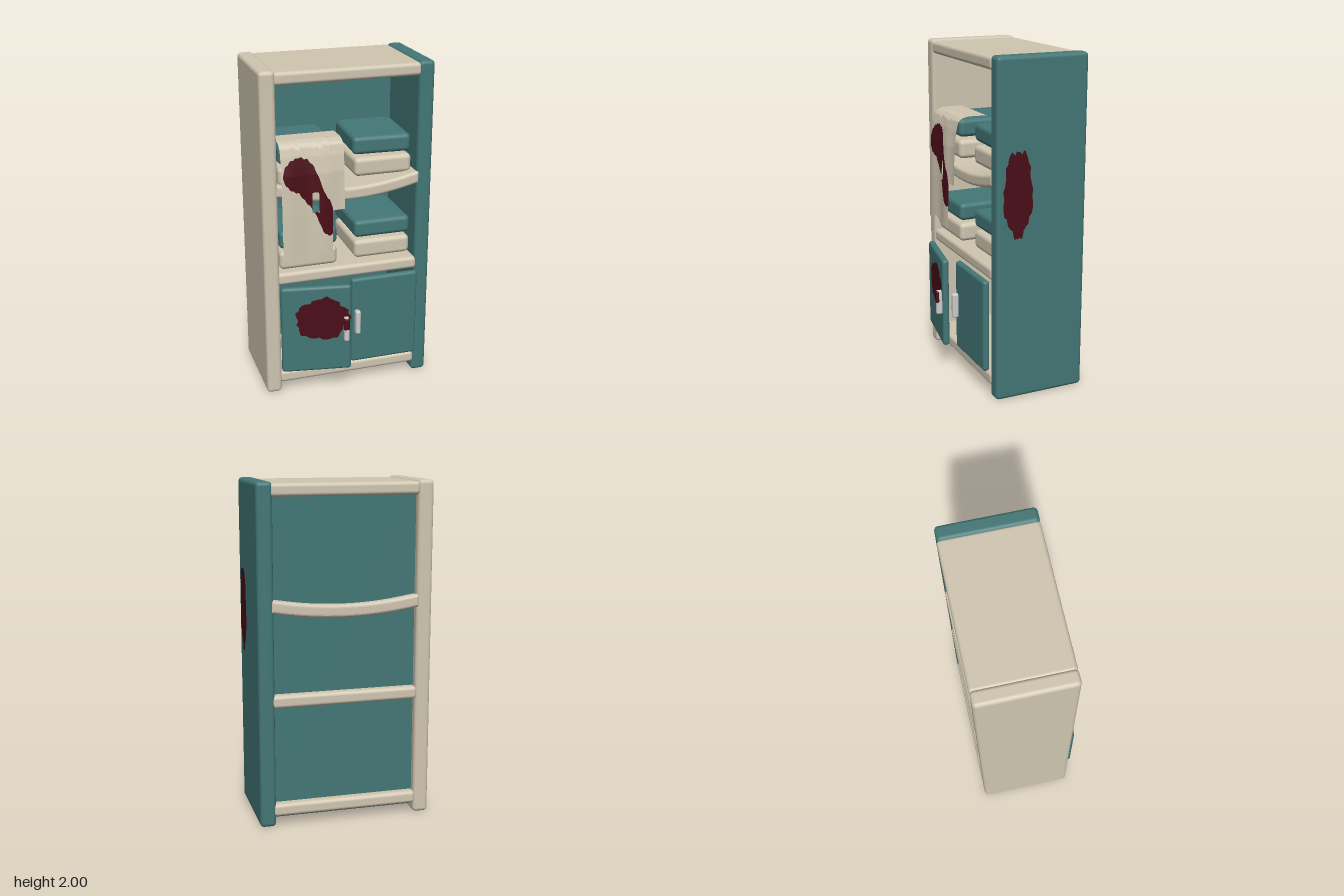
import * as THREE from 'three';
import { RoundedBoxGeometry } from 'three/addons/geometries/RoundedBoxGeometry.js';
import { ParametricGeometry } from 'three/addons/geometries/ParametricGeometry.js';

const mat = (color, side = THREE.FrontSide) => new THREE.MeshStandardMaterial({ color, side });
const teal = mat(0x437776);
const cream = mat(0xd0c6b1);
const grey = mat(0xcccccc);
const linen = mat(0xd0c6b1, THREE.DoubleSide);
const red = mat(0x4a0d18, THREE.DoubleSide);

function add(parent, name, geometry, material, x = 0, y = 0, z = 0) {
  const mesh = new THREE.Mesh(geometry, material);
  mesh.name = name;
  mesh.position.set(x, y, z);
  parent.add(mesh);
  return mesh;
}

// Rounded block given by its extents on each axis
function block(parent, name, material, [x0, x1], [y0, y1], [z0, z1], r = 0.02) {
  const geometry = new RoundedBoxGeometry(x1 - x0, y1 - y0, z1 - z0, 4, r);
  return add(parent, name, geometry, material, (x0 + x1) / 2, (y0 + y1) / 2, (z0 + z1) / 2);
}

// Piecewise linear lookup: rows are [key, value, ...]
function lookup(rows, key, col = 1) {
  let i = 1;
  while (i < rows.length - 1 && key > rows[i][0]) i++;
  const [a, b] = [rows[i - 1], rows[i]];
  return THREE.MathUtils.mapLinear(THREE.MathUtils.clamp(key, a[0], b[0]), a[0], b[0], a[col], b[col]);
}

// Flat splatter with a ragged outline
function splatter(rx, ry, seed) {
  const points = [];
  for (let i = 0; i < 72; i++) {
    const a = (i / 72) * Math.PI * 2;
    const r = 0.91 + 0.05 * Math.sin(a * 5 + seed) + 0.035 * Math.sin(a * 13 + seed * 2) + 0.02 * Math.sin(a * 23);
    points.push(new THREE.Vector2(Math.cos(a) * rx * r, Math.sin(a) * ry * r));
  }
  return new THREE.ShapeGeometry(new THREE.Shape(points));
}

// Cloth drape: distance along the cloth -> y, z
const drape = [
  [0.86, 0.86, 0.245], [1.17, 1.17, 0.24], [1.4, 1.4, 0.232], [1.5, 1.5, 0.217],
  [1.55, 1.55, 0.204], [1.585, 1.574, 0.18], [1.62, 1.584, 0.14], [1.74, 1.582, 0.02],
];

// Piece of the cloth surface between x0..x1 and bottom(x)..top(x)
function sheet(parent, name, material, x0, x1, bottom, top, lift = 0) {
  const surface = (u, v, target) => {
    const x = x0 + (x1 - x0) * u;
    const s = THREE.MathUtils.lerp(bottom(x), top(x), v);
    const fold = 0.005 * Math.sin(x * 30) * THREE.MathUtils.clamp((1.6 - s) * 4, 0, 1);
    target.set(x, lookup(drape, s, 1), lookup(drape, s, 2) + fold + lift);
  };
  add(parent, name, new ParametricGeometry(surface, 24, 48), material);
}

function buildCloth() {
  const cloth = new THREE.Group();
  cloth.name = 'tornCloth';
  const top = () => 1.74;
  const hem = (x) => 0.875 + 0.045 * Math.abs((((x + 0.445) / 0.135) % 1) * 2 - 1);
  const holeTop = () => 1.29, holeBottom = () => 1.17;
  sheet(cloth, 'clothLeft', linen, -0.41, -0.23, hem, top);
  sheet(cloth, 'clothAboveHole', linen, -0.23, -0.19, holeTop, top);
  sheet(cloth, 'clothBelowHole', linen, -0.23, -0.19, hem, holeBottom);
  sheet(cloth, 'clothMiddle', linen, -0.19, -0.11, hem, top);
  sheet(cloth, 'clothRight', linen, -0.11, -0.035, holeBottom, top);

  // Stain running diagonally around the hole
  const upper = [[-0.4, 1.41], [-0.385, 1.455], [-0.35, 1.488], [-0.3, 1.503], [-0.25, 1.485], [-0.215, 1.44],
    [-0.2, 1.4], [-0.18, 1.35], [-0.16, 1.285], [-0.13, 1.24], [-0.11, 1.19]];
  const lower = [[-0.4, 1.39], [-0.385, 1.345], [-0.35, 1.312], [-0.31, 1.295], [-0.27, 1.24], [-0.23, 1.19],
    [-0.2, 1.13], [-0.17, 1.05], [-0.14, 1.02], [-0.11, 1.025]];
  const ragged = (x) => 0.004 * Math.sin(x * 190);
  const hi = (x) => lookup(upper, x) + ragged(x);
  const lo = (x) => lookup(lower, x) + ragged(x + 0.02);
  for (const lift of [0.002, -0.002]) {
    sheet(cloth, 'clothStainLeft', red, -0.4, -0.23, lo, hi, lift);
    sheet(cloth, 'clothStainAboveHole', red, -0.23, -0.19, holeTop, hi, lift);
    sheet(cloth, 'clothStainBelowHole', red, -0.23, -0.19, (x) => Math.min(lo(x), 1.17), holeBottom, lift);
    sheet(cloth, 'clothStainRight', red, -0.19, -0.11, lo, hi, lift);
  }
  return cloth;
}

// Sagging shelf: a curved strip extruded through the depth, sagging most at the front
function buildSaggingShelf() {
  const bow = (x) => 1 - (x / 0.435) ** 2;
  const outline = [];
  for (const edge of [-1, 1]) {
    for (let i = 0; i <= 24; i++) {
      const x = edge * (0.42 - (i / 24) * 0.84) * 1;
      outline.push(new THREE.Vector2(x, 1.308 - 0.062 * bow(x) + edge * 0.018));
    }
  }
  outline.reverse();
  const geometry = new THREE.ExtrudeGeometry(new THREE.Shape(outline), {
    depth: 0.524, steps: 4, bevelEnabled: true, bevelThickness: 0.02, bevelSize: 0.02, bevelSegments: 5,
  });
  geometry.translate(0, 0, -0.337);
  const p = geometry.attributes.position;
  for (let i = 0; i < p.count; i++) {
    p.setY(i, p.getY(i) + 0.02 * bow(p.getX(i)) * (0.207 - p.getZ(i)) / 0.564);
  }
  return geometry;
}

// Cupboard door hinged at its own x = 0; side is the direction it extends in
function buildDoor(name, side) {
  const door = new THREE.Group();
  door.name = name;
  const along = (a, b) => (side > 0 ? [a, b] : [-b, -a]);
  block(door, 'doorPanel', teal, along(0, 0.422), [0.155, 0.715], [-0.021, 0.021], 0.019);
  block(door, 'handle', grey, along(0.373, 0.405), [0.36, 0.515], [0.015, 0.057], 0.012);
  return door;
}

export function createModel() {
  const model = new THREE.Group();
  model.name = 'cabinet';

  // Carcass
  const depth = [-0.355, 0.207];
  block(model, 'sidePanelRight', cream, [-0.518, -0.425], [0, 2], depth, 0.024);
  block(model, 'sidePanelLeft', teal, [0.422, 0.516], [0, 2], depth, 0.024);
  block(model, 'backPanel', teal, [-0.435, 0.435], [0.04, 1.96], [-0.305, -0.27], 0.01);
  for (const [name, y] of [['topBoard', 1.916], ['middleShelf', 0.716], ['bottomShelf', 0.061]]) {
    block(model, name, cream, [-0.435, 0.435], [y, y + 0.075], [-0.357, 0.207], 0.022);
  }
  add(model, 'saggingShelf', buildSaggingShelf(), cream);

  // Folded linen stacks: cream below, teal above
  for (const base of [0.802, 1.322]) {
    for (const [x0, x1, z0, z1] of [[0.058, 0.41, -0.275, 0.145], [-0.414, -0.062, -0.24, 0.18]]) {
      block(model, 'lowerFoldedLinen', cream, [x0, x1], [base, base + 0.113], [z0, z1], 0.028);
      const upper = block(model, 'upperFoldedLinen', teal, [x0, x1], [base + 0.132, base + 0.24], [z0, z1], 0.028);
      if (base > 1 && x0 > 0) upper.rotation.y = -0.05;
    }
  }

  model.add(buildCloth());

  // Doors: one shut, one ajar with a splatter
  const shut = buildDoor('leftDoor', -1);
  shut.position.set(0.428, 0, 0.229);
  const ajar = buildDoor('rightDoor', 1);
  ajar.position.set(-0.431, 0, 0.231);
  ajar.rotation.y = -0.17;
  add(ajar, 'doorStain', splatter(0.176, 0.15, 1), red, 0.246, 0.505, 0.0235);
  block(ajar, 'handleStain', red, [0.371, 0.407], [0.435, 0.513], [0.036, 0.059], 0.01);
  model.add(shut, ajar);

  // Splatter on the outer side panel
  const sideStain = add(model, 'sideStain', splatter(0.098, 0.275, 3), red, 0.5185, 1.235, 0.078);
  sideStain.rotation.y = Math.PI / 2;

  return model;
}
